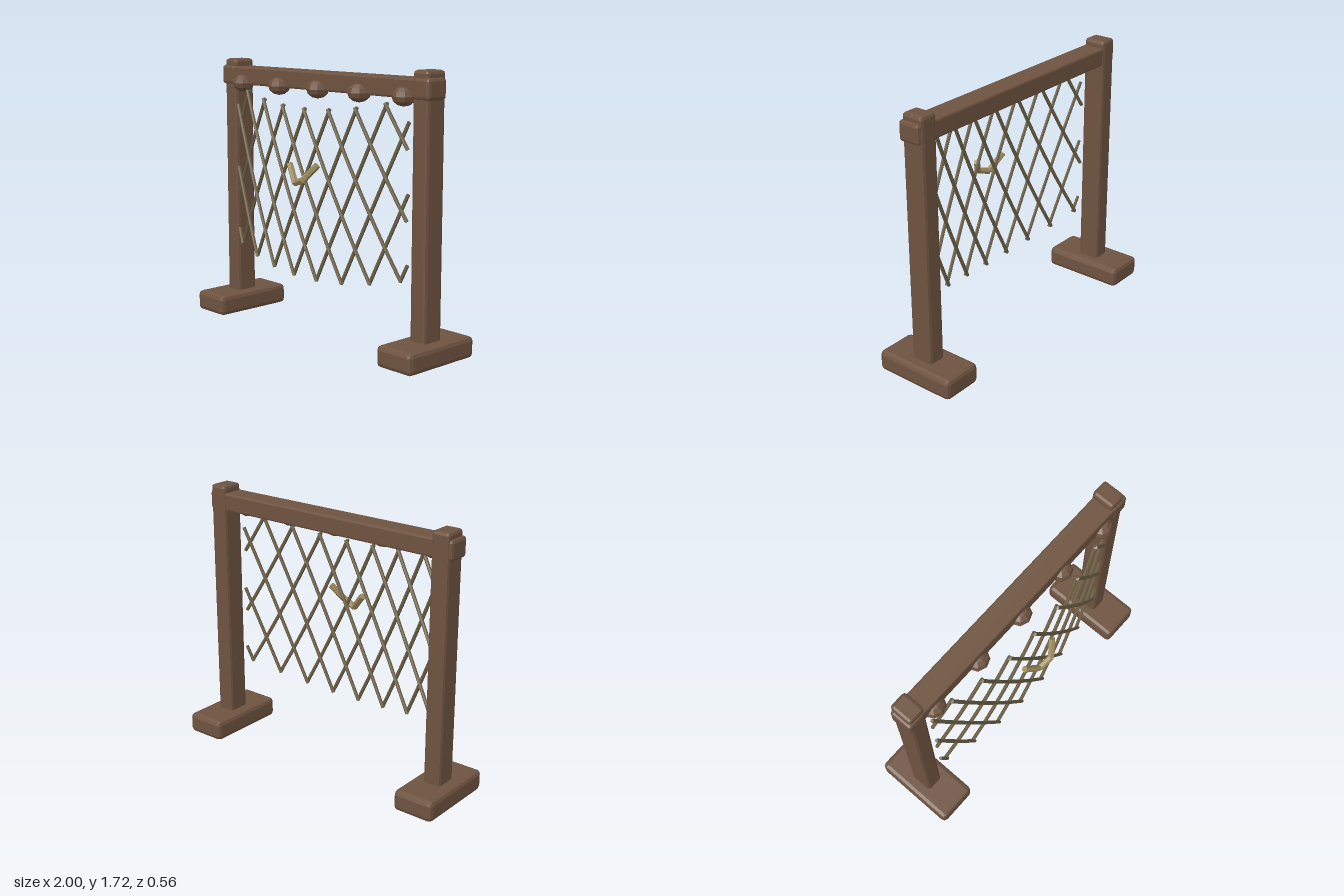
import * as THREE from 'three';
import { RoundedBoxGeometry } from 'three/addons/geometries/RoundedBoxGeometry.js';

const material = (name, color) => {
  const m = new THREE.MeshStandardMaterial({ color, flatShading: true });
  m.name = name;
  return m;
};

export function createModel() {
  const model = new THREE.Group();
  model.name = 'hangingNetFrame';
  const wood = material('brown wood', 0x6e5340);
  const rope = material('dull rope', 0x6d6147);
  const straw = material('pale straw', 0x9c8a5c);

  function add(name, geometry, mat, parent = model) {
    const mesh = new THREE.Mesh(geometry, mat);
    mesh.name = name;
    parent.add(mesh);
    return mesh;
  }

  // Box with chamfered edges, given by its limits
  function block(name, [x0, x1], [y0, y1], [z0, z1], r) {
    const g = new RoundedBoxGeometry(x1 - x0, y1 - y0, z1 - z0, 1, r);
    g.translate((x0 + x1) / 2, (y0 + y1) / 2, (z0 + z1) / 2);
    return add(name, g, wood);
  }

  // Feet, posts and the joints at the ends of the beam
  for (const [side, s] of [['left', 1], ['right', -1]]) {
    const span = (a, b) => (s > 0 ? [a, b] : [-b, -a]);
    block(side + 'Foot', span(0.725, 1), [0, 0.135], [-0.28, 0.28], 0.028);
    block(side + 'Post', span(0.8, 0.92), [0.05, 1.72], [-0.075, 0.075], 0.02);
    block(side + 'BeamEnd', span(0.81, 0.938), [1.55, 1.678], [-0.065, 0.087], 0.02);
  }
  block('beam', [-0.92, 0.92], [1.555, 1.672], [-0.067, 0.083], 0.012);

  // Faceted knobs along the beam
  for (let i = -2; i <= 2; i++) {
    const knob = add('knob', new THREE.SphereGeometry(1, 8, 6), wood);
    knob.scale.set(0.075, 0.058, 0.068);
    knob.position.set(i * 0.365, 1.565, 0.07);
  }

  // Solid rod with a small polygon section, swept along points
  function rod(points, radius, sides, steps) {
    const section = new THREE.Shape();
    for (let i = 0; i < sides; i++) {
      const a = (i / sides) * Math.PI * 2;
      if (i) section.lineTo(Math.cos(a) * radius, Math.sin(a) * radius);
      else section.moveTo(radius, 0);
    }
    const extrudePath = points.length > 2
      ? new THREE.CatmullRomCurve3(points)
      : new THREE.LineCurve3(points[0], points[1]);
    return new THREE.ExtrudeGeometry(section, { steps, extrudePath, bevelEnabled: false });
  }

  // Net: two crossing families of strands on a bowed, sagging sheet
  const net = new THREE.Group();
  net.name = 'net';
  model.add(net);
  const spacing = 0.21, run = 0.525, drop = 1.05, edge = 0.775;
  for (const dir of [1, -1]) {
    for (let k = -7; k <= 7; k++) {
      const top = k * spacing;
      // Part of the strand that lies between the side edges
      const ts = [-edge, edge].map((x) => ((x - top) * dir) / run).sort((a, b) => a - b);
      const t0 = Math.max(-0.008, ts[0]), t1 = Math.min(1.012, ts[1]);
      if (t1 - t0 < 0.05) continue;
      const points = [];
      for (let i = 0; i <= 6; i++) {
        const t = t0 + ((t1 - t0) * i) / 6;
        const x = top + dir * run * t;
        points.push(new THREE.Vector3(
          x, 1.447 - drop * t + 0.175 * x * x, 0.181 - 0.175 * x * x + dir * 0.005));
      }
      add('strand', rod(points, 0.0115, 6, 6), rope, net);
    }
  }

  // Bent straw caught on the front of the net
  const bends = [[-0.11, 1.1, 0.205], [-0.015, 0.995, 0.245], [0.075, 1.025, 0.26], [0.145, 1.12, 0.205]]
    .map((p) => new THREE.Vector3(...p));
  const bent = new THREE.Group();
  bent.name = 'bentStraw';
  model.add(bent);
  for (let i = 0; i < 3; i++) {
    add('strawPiece', rod([bends[i], bends[i + 1]], 0.021, 6, 1), straw, bent);
  }

  return model;
}
